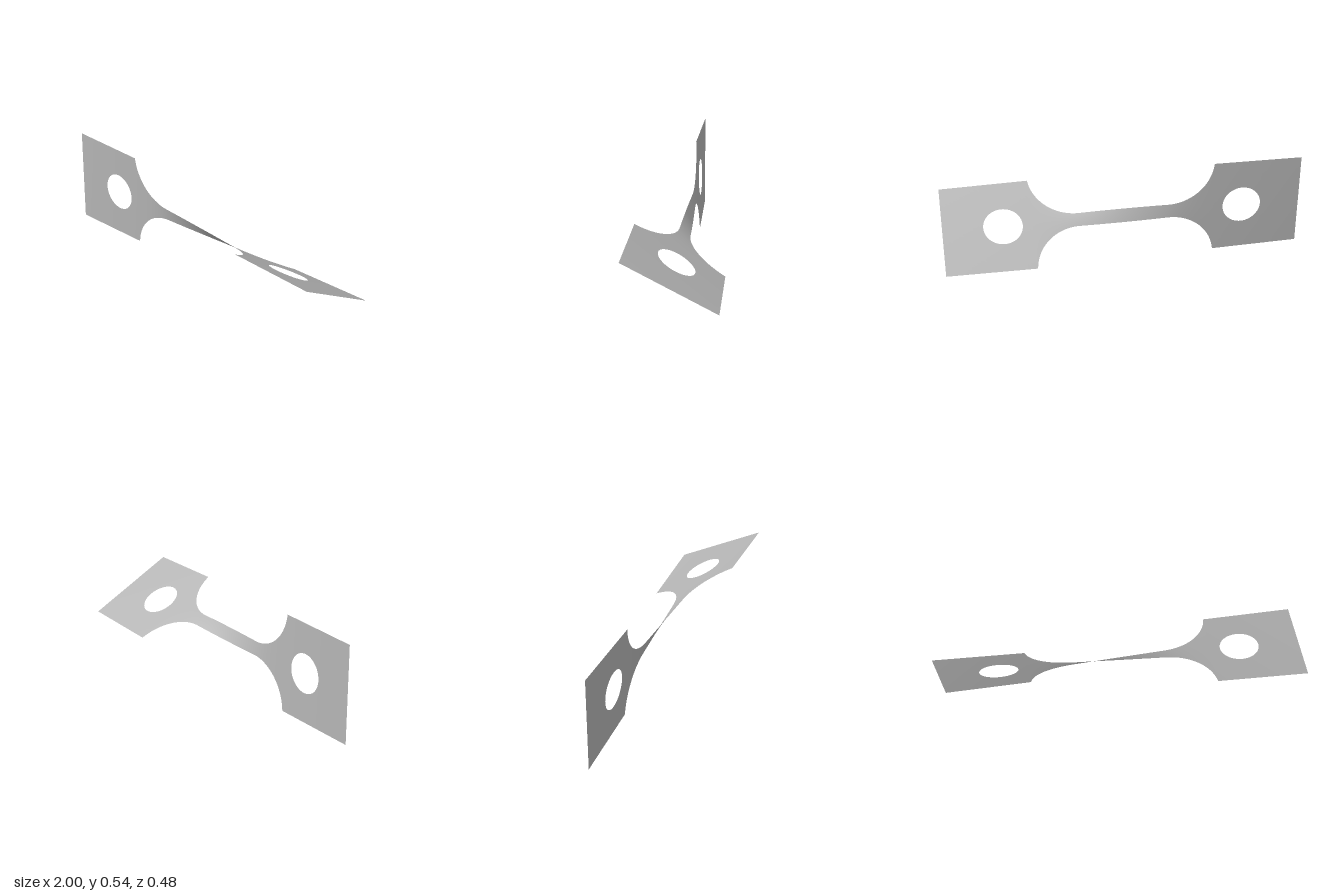
import * as THREE from 'three';
import { mergeVertices } from 'three/addons/utils/BufferGeometryUtils.js';

const HALF_TAB = 0.272, HALF_NECK = 0.0375, FILLET = 0.26, FILLET_X = 0.25;
const FILLET_END = FILLET_X + Math.sqrt(FILLET ** 2 - (HALF_NECK + FILLET - HALF_TAB) ** 2);
const HOLE_X = 0.67, HOLE_R = 0.108, TWIST = THREE.MathUtils.degToRad(62.3);

// Half width of the flat outline: neck, circular fillet, square tab
function halfWidth(x) {
  const d = Math.abs(x);
  if (d <= FILLET_X) return HALF_NECK;
  if (d >= FILLET_END) return HALF_TAB;
  return HALF_NECK + FILLET - Math.sqrt(FILLET ** 2 - (d - FILLET_X) ** 2);
}

// Half height of the round hole
function holeHalf(x) {
  return Math.sqrt(Math.max(0, HOLE_R ** 2 - (Math.abs(x) - HOLE_X) ** 2));
}

// Twist angle: narrow sections turn faster than wide ones
const STEPS = 2000, table = [0];
for (let i = 0; i < STEPS; i++) {
  const x = -1 + (2 * (i + 0.5)) / STEPS;
  table.push(table[i] + (HALF_NECK / halfWidth(x)) ** 1.38);
}
function twistAt(x) {
  const f = ((x + 1) / 2) * STEPS, i = Math.min(STEPS - 1, Math.floor(f));
  return (TWIST * THREE.MathUtils.lerp(table[i], table[i + 1], f - i)) / table[STEPS];
}

// Stations along one half, from the centre outwards
function stations() {
  const xs = [];
  const span = (a, b, n, ease = t => t) => {
    for (let i = 0; i < n; i++) xs.push(a + (b - a) * ease(i / n));
  };
  span(0, FILLET_X, 16);
  span(FILLET_X, FILLET_END, 32, t => Math.sin((t * Math.PI) / 2));
  span(FILLET_END, HOLE_X - HOLE_R, 3);
  span(HOLE_X - HOLE_R, HOLE_X + HOLE_R, 40, t => (1 - Math.cos(t * Math.PI)) / 2);
  span(HOLE_X + HOLE_R, 1, 8);
  xs.push(1);
  return xs;
}

// Twisted sheet: strips above and below the centre line, opened at the holes
function sheetGeometry() {
  const half = stations();
  const xs = [...half.slice(1).reverse().map(x => -x), ...half];
  const ROWS = 8, positions = [], indices = [];
  for (const side of [-1, 1]) {
    const base = positions.length / 3;
    for (const x of xs) {
      const a = twistAt(x), inner = holeHalf(x), outer = halfWidth(x);
      for (let j = 0; j <= ROWS; j++) {
        const t = side < 0 ? 1 - j / ROWS : j / ROWS;
        const v = side * THREE.MathUtils.lerp(inner, outer, t);
        positions.push(x, HALF_TAB + v * Math.cos(a), v * Math.sin(a));
      }
    }
    for (let i = 0; i < xs.length - 1; i++) {
      for (let j = 0; j < ROWS; j++) {
        const p = base + i * (ROWS + 1) + j, q = p + ROWS + 1;
        indices.push(p, q, q + 1, p, q + 1, p + 1);
      }
    }
  }
  const geometry = new THREE.BufferGeometry();
  geometry.setAttribute('position', new THREE.Float32BufferAttribute(positions, 3));
  geometry.setIndex(indices);
  const merged = mergeVertices(geometry, 1e-5);
  merged.computeVertexNormals();
  return merged;
}

export function createModel() {
  const steel = new THREE.MeshStandardMaterial({ color: 0xb4b4b4, side: THREE.DoubleSide });
  steel.name = 'steelGrey';
  const group = new THREE.Group();
  group.name = 'twistedSpecimen';
  const sheet = new THREE.Mesh(sheetGeometry(), steel);
  sheet.name = 'twistedSheet';
  group.add(sheet);
  return group;
}
